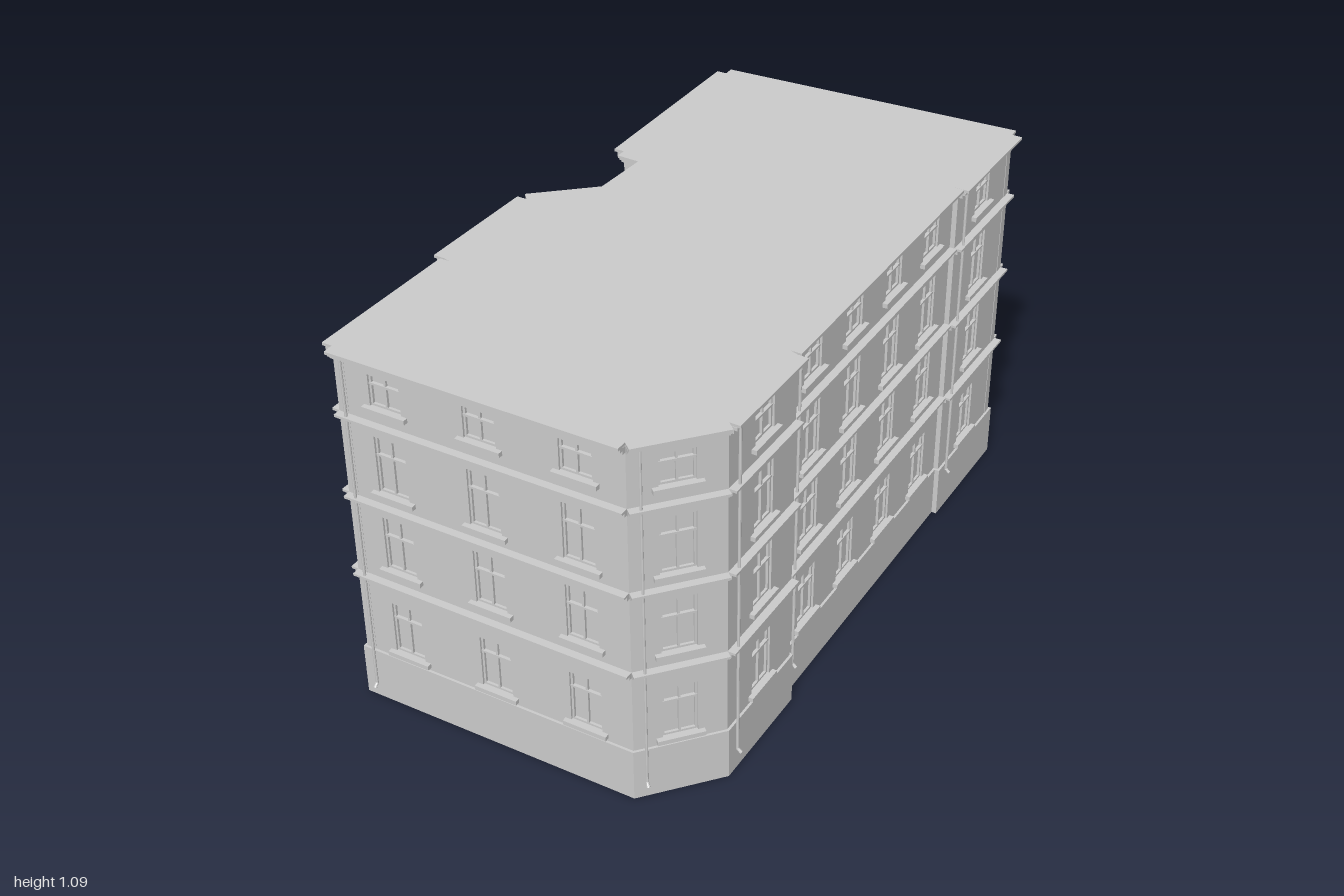
import * as THREE from 'three';

const PLINTH = 0.155, TOP = 1.085, THICK = 0.03;
const material = new THREE.MeshStandardMaterial({ color: 0xcccccc, flatShading: true });

// Window rows: [bottom, top, transom height]
const ROWS = [[0.178, 0.335, 0.288], [0.45, 0.61, 0.553], [0.69, 0.855, 0.8], [0.945, 1.035, 1.008]];

// Walls in order round the plan: start corner x, z, window positions along
// the wall (0..1), and the height of the drainpipe outlet (0 = no pipe)
const WALLS = [
  { name: 'frontWall', at: [-0.41, 0.967], windows: [0.176, 0.509, 0.835], pipe: 0.045, trim: true },
  { name: 'cornerWall', at: [0.4, 0.866], windows: [0.5], pipe: 0.05, trim: true },
  { name: 'rightFrontWall', at: [0.54, 0.665], windows: [0.52], pipe: 0.07, trim: true },
  { name: 'rightFrontReturn', at: [0.504, 0.34], windows: [] },
  { name: 'rightMiddleWall', at: [0.48, 0.335], windows: [0.13, 0.37, 0.614, 0.859], pipe: 0.09, trim: true },
  { name: 'rightRearReturn', at: [0.368, -0.6], windows: [] },
  { name: 'rightRearWall', at: [0.382, -0.602], windows: [0.47], pipe: 0.14, trim: true },
  { name: 'backWall', at: [0.338, -0.968], windows: [0.18, 0.53, 0.87], pipe: 0.12, trim: true, shop: true },
  { name: 'leftRearWall', at: [-0.55, -0.817], windows: [0.27, 0.72], pipe: 0.1, trim: true },
  { name: 'recessReturn', at: [-0.48, -0.238], windows: [], trim: true },
  { name: 'recessWall', at: [-0.382, -0.245], windows: [], trim: true },
  { name: 'recessDiagonalWall', at: [-0.368, -0.03], windows: [0.48], pipe: 0.09, trim: true },
  { name: 'leftMiddleWall', at: [-0.515, 0.135], windows: [0.5], pipe: 0.08, trim: true },
  { name: 'leftMiddleReturn', at: [-0.48, 0.5], windows: [] },
  { name: 'leftFrontWall', at: [-0.456, 0.503], windows: [0.5], pipe: 0.06, trim: true },
];

function add(parent, name, geometry, x = 0, y = 0, z = 0) {
  const mesh = new THREE.Mesh(geometry, material);
  mesh.name = name;
  mesh.position.set(x, y, z);
  parent.add(mesh);
  return mesh;
}

// Box given by its limits
function block(parent, name, x0, x1, y0, y1, z0, z1) {
  return add(parent, name, new THREE.BoxGeometry(x1 - x0, y1 - y0, z1 - z0),
    (x0 + x1) / 2, (y0 + y1) / 2, (z0 + z1) / 2);
}

function rectangle(PathType, x0, x1, y0, y1) {
  return new PathType([[x0, y0], [x1, y0], [x1, y1], [x0, y1]].map(p => new THREE.Vector2(...p)));
}

// Plan outline moved outwards by d with mitred corners
function outline(d) {
  const pts = WALLS.map(w => new THREE.Vector2(w.at[0], -w.at[1]));
  const n = pts.length;
  return pts.map((p, i) => {
    const a = p.clone().sub(pts[(i + n - 1) % n]).normalize();
    const b = pts[(i + 1) % n].clone().sub(p).normalize();
    const na = new THREE.Vector2(a.y, -a.x), nb = new THREE.Vector2(b.y, -b.x);
    const k = d / (1 + na.dot(nb));
    return p.clone().add(na.add(nb).multiplyScalar(k));
  });
}

function slab(parent, name, outer, inner, y0, y1) {
  const shape = new THREE.Shape(outer);
  if (inner) shape.holes.push(new THREE.Path(inner));
  const g = new THREE.ExtrudeGeometry(shape, { depth: y1 - y0, bevelEnabled: false });
  g.rotateX(-Math.PI / 2);
  add(parent, name, g, 0, y0, 0);
}

// Frame, glass, mullions and transom set into an opening
function glazing(parent, x0, x1, y0, y1, transom, mullions) {
  const f = 0.006, z0 = -0.018, z1 = -0.006;
  block(parent, 'glass', x0, x1, y0, y1, -0.018, -0.013);
  block(parent, 'frameLeft', x0, x0 + f, y0, y1, z0, z1);
  block(parent, 'frameRight', x1 - f, x1, y0, y1, z0, z1);
  block(parent, 'frameBottom', x0, x1, y0, y0 + f, z0, z1);
  block(parent, 'frameTop', x0, x1, y1 - f, y1, z0, z1);
  block(parent, 'transom', x0, x1, transom - 0.003, transom + 0.003, z0, z1 + 0.002);
  for (const t of mullions) {
    const x = x0 + (x1 - x0) * t;
    block(parent, 'mullion', x - 0.003, x + 0.003, y0, y1, z0, z1);
  }
}

function windowUnit(parent, x, [y0, y1, transom], half) {
  const g = new THREE.Group();
  g.name = 'window';
  glazing(g, x - half, x + half, y0, y1, transom, [0.5]);
  block(g, 'sill', x - half - 0.017, x + half + 0.017, y0 - 0.013, y0, -0.015, 0.014);
  parent.add(g);
}

function entrance(parent, x, half, y0, y1) {
  const g = new THREE.Group();
  g.name = 'entrance';
  glazing(g, x - half, x + half, y0, y1, y1 - 0.045, [0.5]);
  for (const s of [-1, 1]) {
    const c = x + s * half * 0.5, p = x + s * (half + 0.008);
    block(g, 'lowerDoorPanel', c - 0.014, c + 0.014, y0 + 0.015, y0 + 0.06, -0.014, -0.008);
    block(g, 'upperDoorPanel', c - 0.014, c + 0.014, y0 + 0.07, y1 - 0.06, -0.014, -0.008);
    block(g, 'pilaster', p - 0.008, p + 0.008, y0, y1, -0.01, 0.01);
    block(g, 'pilasterBase', p - 0.01, p + 0.01, y0, y0 + 0.02, -0.01, 0.014);
  }
  block(g, 'doorLintel', x - half - 0.018, x + half + 0.018, y1, y1 + 0.012, -0.01, 0.014);
  block(g, 'doorHood', x - half - 0.024, x + half + 0.024, y1 + 0.012, y1 + 0.02, -0.01, 0.024);
  parent.add(g);
}

// Stacked bands that widen upwards
function cornices(parent, length) {
  for (const y of [0.41, 0.655, 0.9]) {
    block(parent, 'storeyMoulding', 0, length, y - 0.018, y - 0.007, -0.01, 0.01);
    block(parent, 'storeyLedge', 0, length, y - 0.007, y, -0.01, 0.022);
  }
  [0.012, 0.021, 0.03].forEach((out, i) =>
    block(parent, 'roofCornice', 0, length, TOP - 0.028 + i * 0.01, TOP - 0.018 + i * 0.009, -0.01, out));
}

function drainpipe(parent, foot) {
  const g = new THREE.Group();
  g.name = 'drainpipe';
  const x = 0.03, z = 0.013, top = TOP - 0.02;
  add(g, 'pipe', new THREE.CylinderGeometry(0.004, 0.004, top - foot, 8), x, (top + foot) / 2, z);
  add(g, 'outlet', new THREE.CylinderGeometry(0.004, 0.005, 0.016, 8), x, foot - 0.002, z + 0.005)
    .rotation.x = -Math.PI / 4;
  parent.add(g);
}

function buildWall(spec, next) {
  const dx = next.at[0] - spec.at[0], dz = next.at[1] - spec.at[1];
  const length = Math.hypot(dx, dz), half = 0.046;
  const wall = new THREE.Group();
  wall.name = spec.name;
  wall.position.set(spec.at[0], 0, spec.at[1]);
  wall.rotation.y = Math.atan2(-dz, dx);

  const panel = rectangle(THREE.Shape, 0, length, PLINTH, TOP - 0.005);
  const open = (...r) => panel.holes.push(rectangle(THREE.Path, ...r));
  for (const t of spec.windows) {
    ROWS.forEach((row, i) => {
      if (spec.shop && i === 0) return;
      const x = t * length;
      open(x - half, x + half, row[0], row[1]);
      windowUnit(wall, x, row, half);
    });
  }
  // Shop windows either side of the entrance
  if (spec.shop) {
    for (const t of [0.18, 0.83]) {
      const x = t * length, w = 0.088;
      open(x - w, x + w, 0.175, 0.365);
      glazing(wall, x - w, x + w, 0.175, 0.365, 0.315, [0.33, 0.67]);
      block(wall, 'shopSill', x - w - 0.01, x + w + 0.01, 0.165, 0.175, -0.01, 0.014);
    }
    const x = 0.505 * length;
    open(x - 0.05, x + 0.05, 0.162, 0.355);
    entrance(wall, x, 0.05, 0.162, 0.355);
  }
  add(wall, 'wallPanel', new THREE.ExtrudeGeometry(panel, { depth: THICK, bevelEnabled: false }), 0, 0, -THICK);
  if (spec.trim) cornices(wall, length);
  if (spec.pipe) drainpipe(wall, spec.pipe);
  return wall;
}

export function createModel() {
  const model = new THREE.Group();
  model.name = 'cornerBuilding';
  // Open plinth ring and flat roof
  slab(model, 'plinth', outline(0.007), outline(-THICK), 0, PLINTH);
  slab(model, 'roof', outline(0), null, TOP - 0.015, TOP);
  WALLS.forEach((w, i) => model.add(buildWall(w, WALLS[(i + 1) % WALLS.length])));
  return model;
}
